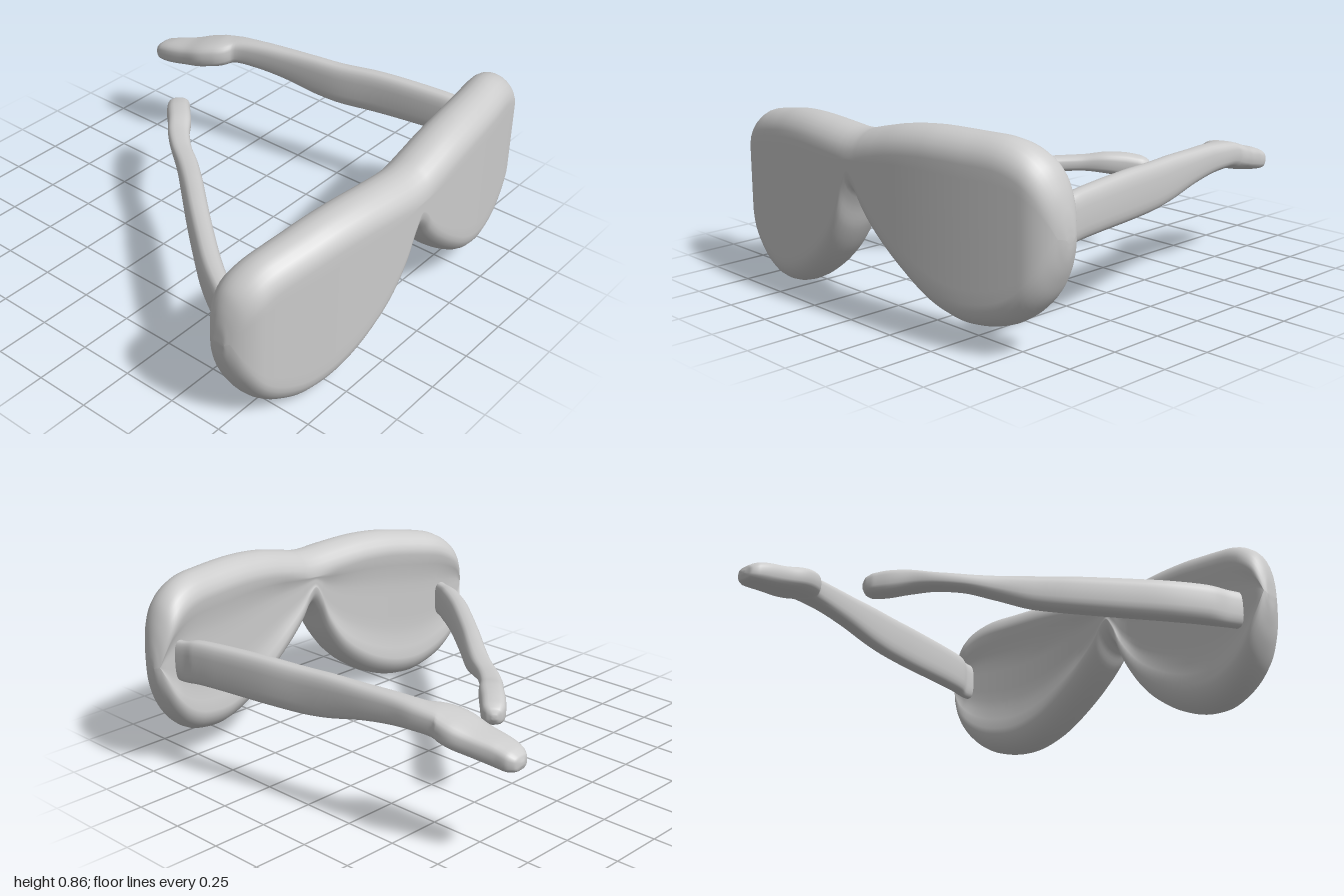
import * as THREE from 'three';

const material = new THREE.MeshStandardMaterial({ color: 0xcccccc });
const UP = new THREE.Vector3(0, 1, 0);

// Smooth closed skin through a list of equal-length rings
function loft(rings, name) {
  const n = rings[0].length, index = [];
  const points = rings.flat();
  for (let i = 0; i < rings.length - 1; i++) {
    for (let j = 0; j < n; j++) {
      const a = i * n + j, b = i * n + (j + 1) % n;
      index.push(a, b, a + n, b, b + n, a + n);
    }
  }
  // End caps
  [0, rings.length - 1].forEach((i) => {
    const mid = new THREE.Vector3();
    rings[i].forEach((p) => mid.addScaledVector(p, 1 / n));
    const c = points.push(mid) - 1;
    for (let j = 0; j < n; j++) {
      const a = i * n + j, b = i * n + (j + 1) % n;
      if (i === 0) index.push(c, b, a); else index.push(c, a, b);
    }
  });
  const geometry = new THREE.BufferGeometry().setFromPoints(points);
  geometry.setIndex(index);
  geometry.computeVertexNormals();
  const mesh = new THREE.Mesh(geometry, material);
  mesh.name = name;
  return mesh;
}

const curve = (list) => new THREE.CatmullRomCurve3(list.map((p) => new THREE.Vector3(...p)));

// Thick curved front: stations of [x, top, bottom]
function createFront() {
  const outline = curve([
    [-0.98, 0.43, 0.41], [-0.975, 0.51, 0.35], [-0.96, 0.58, 0.29], [-0.93, 0.645, 0.21],
    [-0.87, 0.7, 0.115], [-0.8, 0.735, 0.055], [-0.7, 0.758, 0.012], [-0.62, 0.772, 0.002],
    [-0.5, 0.79, 0.02], [-0.35, 0.798, 0.085], [-0.2, 0.793, 0.2], [-0.1, 0.787, 0.34],
    [-0.05, 0.785, 0.46], [-0.015, 0.786, 0.51], [0.02, 0.79, 0.485], [0.06, 0.8, 0.425],
    [0.13, 0.817, 0.35], [0.25, 0.842, 0.25], [0.4, 0.857, 0.15], [0.5, 0.859, 0.11],
    [0.6, 0.858, 0.095], [0.74, 0.853, 0.12], [0.83, 0.825, 0.17], [0.9, 0.77, 0.245],
    [0.945, 0.69, 0.33], [0.97, 0.61, 0.4], [0.98, 0.55, 0.45], [0.983, 0.505, 0.485],
  ]);
  const rings = [], arc = 12, flat = 10;
  for (let i = 0; i <= 135; i++) {
    const { x, y: top, z: bottom } = outline.getPoint(i / 135);
    const mid = (top + bottom) / 2, h = Math.max((top - bottom) / 2, 0.004);
    const e = Math.max(0, (Math.abs(x) - 0.86) / 0.125);
    const t = (0.118 - 0.015 * x * x) * Math.sqrt(Math.max(0.01, 1 - e * e));
    const r = Math.min(0.11, h), straight = h - r;
    const dish = 0.025 * Math.min(1, straight / 0.15);
    const zMid = 0.872 - 0.145 * x * x;
    const ring = [];
    const add = (back, up) => ring.push(new THREE.Vector3(x, mid + up, zMid - back));
    for (let side = 1; side >= -1; side -= 2) {
      // Rounded rim, then the flat lens face (gently dished at the back)
      for (let k = 0; k <= arc; k++) {
        const a = (k / arc) * Math.PI;
        add(side * Math.cos(a) * t, side * (straight + Math.sin(a) * r));
      }
      for (let k = 1; k < flat; k++) {
        const f = k / flat;
        const inset = side < 0 ? dish * Math.min(1, 1.4 * Math.sin(f * Math.PI)) : 0;
        add(-side * t - inset, side * straight * (1 - 2 * f));
      }
    }
    rings.push(ring);
  }
  return loft(rings, 'lensFrame');
}

// Temple arm: stations of [x, y, z, half width, half height]
function createArm(name, stations) {
  const path = curve(stations.map((s) => s.slice(0, 3)));
  const size = curve(stations.map((s) => [s[3], s[4], 0]));
  const rings = [], steps = stations.length * 5, sides = 24;
  for (let i = 0; i <= steps; i++) {
    const c = path.getPoint(i / steps), { x: w, y: h } = size.getPoint(i / steps);
    const d = path.getTangent(i / steps).setY(0).normalize();
    const across = new THREE.Vector3().crossVectors(UP, d);
    const ring = [];
    for (let j = 0; j < sides; j++) {
      const a = (j / sides) * Math.PI * 2;
      const soft = (v) => Math.sign(v) * Math.pow(Math.abs(v), 0.7);
      ring.push(c.clone()
        .addScaledVector(across, soft(Math.cos(a)) * w)
        .addScaledVector(UP, soft(Math.sin(a)) * h));
    }
    rings.push(ring);
  }
  return loft(rings, name);
}

export function createModel() {
  const group = new THREE.Group();
  group.name = 'sunglasses';
  group.add(createFront());
  // Left arm, opened out, with a wide bent ear tip
  group.add(createArm('leftArm', [
    [0.865, 0.515, 0.74, 0.035, 0.09], [0.86, 0.515, 0.645, 0.028, 0.095],
    [0.845, 0.525, 0.58, 0.042, 0.1], [0.825, 0.53, 0.45, 0.045, 0.102],
    [0.785, 0.53, 0.2, 0.045, 0.105], [0.742, 0.524, 0, 0.045, 0.102],
    [0.722, 0.53, -0.12, 0.045, 0.096], [0.695, 0.545, -0.3, 0.047, 0.076],
    [0.668, 0.55, -0.45, 0.05, 0.066], [0.643, 0.545, -0.57, 0.062, 0.06],
    [0.605, 0.53, -0.64, 0.096, 0.063], [0.585, 0.512, -0.71, 0.106, 0.062],
    [0.567, 0.487, -0.8, 0.09, 0.056], [0.55, 0.465, -0.9, 0.074, 0.054],
    [0.548, 0.452, -0.96, 0.064, 0.046], [0.546, 0.446, -0.99, 0.042, 0.03],
    [0.545, 0.445, -0.999, 0.01, 0.008],
  ]));
  // Right arm, folded partly inwards
  group.add(createArm('rightArm', [
    [-0.845, 0.385, 0.735, 0.035, 0.085], [-0.805, 0.385, 0.65, 0.034, 0.088],
    [-0.755, 0.39, 0.56, 0.047, 0.093], [-0.66, 0.392, 0.42, 0.05, 0.093],
    [-0.53, 0.395, 0.26, 0.05, 0.09], [-0.38, 0.4, 0.085, 0.05, 0.084],
    [-0.26, 0.405, -0.05, 0.05, 0.073], [-0.16, 0.42, -0.17, 0.048, 0.05],
    [-0.08, 0.43, -0.28, 0.046, 0.036], [0, 0.434, -0.37, 0.05, 0.036],
    [0.08, 0.436, -0.44, 0.055, 0.048], [0.15, 0.425, -0.51, 0.056, 0.056],
    [0.2, 0.417, -0.555, 0.053, 0.052], [0.225, 0.415, -0.58, 0.036, 0.036],
    [0.235, 0.415, -0.59, 0.01, 0.01],
  ]));
  return group;
}
